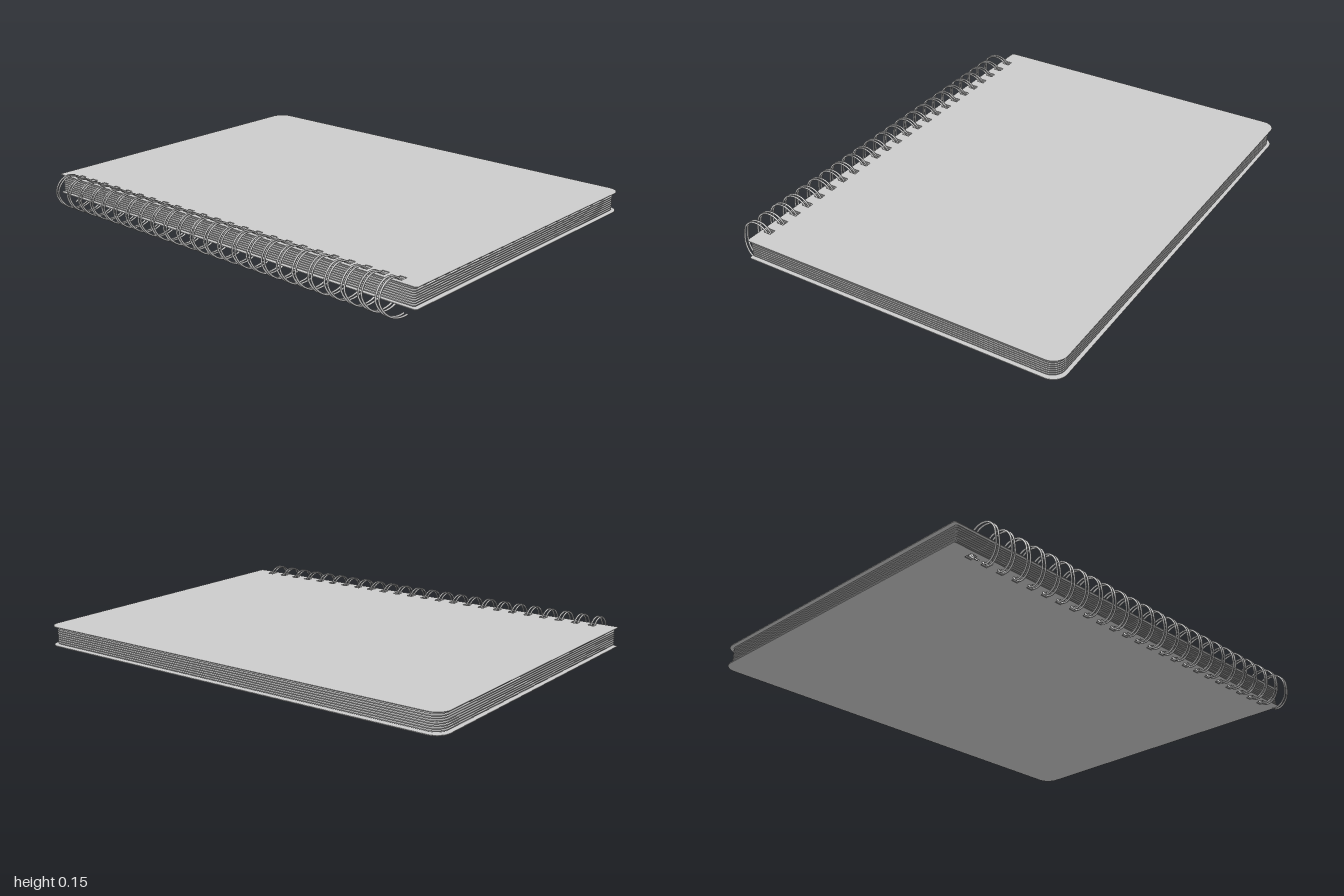
import * as THREE from 'three';

const LOOPS = 24, PITCH = 0.078, Z0 = -0.89;      // binding loops along the spine
const RING = { x: -0.7, y: 0.0735, r: 0.0695, wire: 0.004 };

// Sheet outline: nearly square at the spine, rounded at the outer corners, punched along the spine
function sheetGeometry(x0, x1, halfZ, round, thickness) {
  const s = new THREE.Shape(), q = 0.01;
  s.moveTo(x0 + q, -halfZ);
  s.lineTo(x1 - round, -halfZ);
  s.absarc(x1 - round, -halfZ + round, round, -Math.PI / 2, 0);
  s.absarc(x1 - round, halfZ - round, round, 0, Math.PI / 2);
  s.lineTo(x0 + q, halfZ);
  s.absarc(x0 + q, halfZ - q, q, Math.PI / 2, Math.PI);
  s.absarc(x0 + q, -halfZ + q, q, Math.PI, Math.PI * 1.5);
  for (let k = 0; k < LOOPS; k++) {
    const y = -(Z0 + k * PITCH), h = 0.015;
    const hole = new THREE.Path();
    hole.moveTo(-0.655, y - h);
    hole.lineTo(-0.655, y + h);
    hole.lineTo(-0.622, y + h);
    hole.lineTo(-0.622, y - h);
    hole.closePath();
    s.holes.push(hole);
  }
  const g = new THREE.ExtrudeGeometry(s, { depth: thickness, bevelEnabled: false, curveSegments: 8 });
  return g.rotateX(-Math.PI / 2);
}

// Coil: straight over the top half of each loop, stepping to the next loop underneath
class CoilCurve extends THREE.Curve {
  constructor(offset) {
    super();
    this.offset = offset;
    this.arcLengthDivisions = 3000;
  }
  getPoint(t, target = new THREE.Vector3()) {
    const turns = THREE.MathUtils.lerp(-65 / 360, LOOPS - 1 + 295 / 360, t);
    const n = Math.max(0, Math.floor(turns));
    const step = Math.max(0, (turns - n - 0.5) * 2);
    const a = turns * Math.PI * 2;
    return target.set(
      RING.x + RING.r * Math.cos(a),
      RING.y + RING.r * Math.sin(a),
      Z0 + (n + step) * PITCH + this.offset
    );
  }
}

export function createModel() {
  const model = new THREE.Group();
  model.name = 'spiralNotebook';
  const material = new THREE.MeshStandardMaterial({ color: 0xcccccc });
  const wireMaterial = new THREE.MeshStandardMaterial({ color: 0xcccccc, side: THREE.DoubleSide });

  const add = (name, geometry, y = 0, mat = material) => {
    const mesh = new THREE.Mesh(geometry, mat);
    mesh.name = name;
    mesh.position.y = y;
    model.add(mesh);
  };

  // Covers
  const cover = sheetGeometry(-0.672, 0.77, 1, 0.06, 0.003);
  add('backCover', cover, 0.034);
  add('frontCover', cover, 0.118);

  // Pages, spaced evenly between the covers
  const page = sheetGeometry(-0.667, 0.757, 0.987, 0.055, 0.004);
  const pages = 8;
  for (let i = 0; i < pages; i++) add(`page${i + 1}`, page, 0.034 + (i + 1) * 0.084 / (pages + 1));

  // Twin binding wires
  [-0.008, 0.008].forEach((offset, i) => {
    const wire = new THREE.TubeGeometry(new CoilCurve(offset), LOOPS * 32, RING.wire, 8);
    add(`bindingWire${i + 1}`, wire, 0, wireMaterial);
  });

  return model;
}
